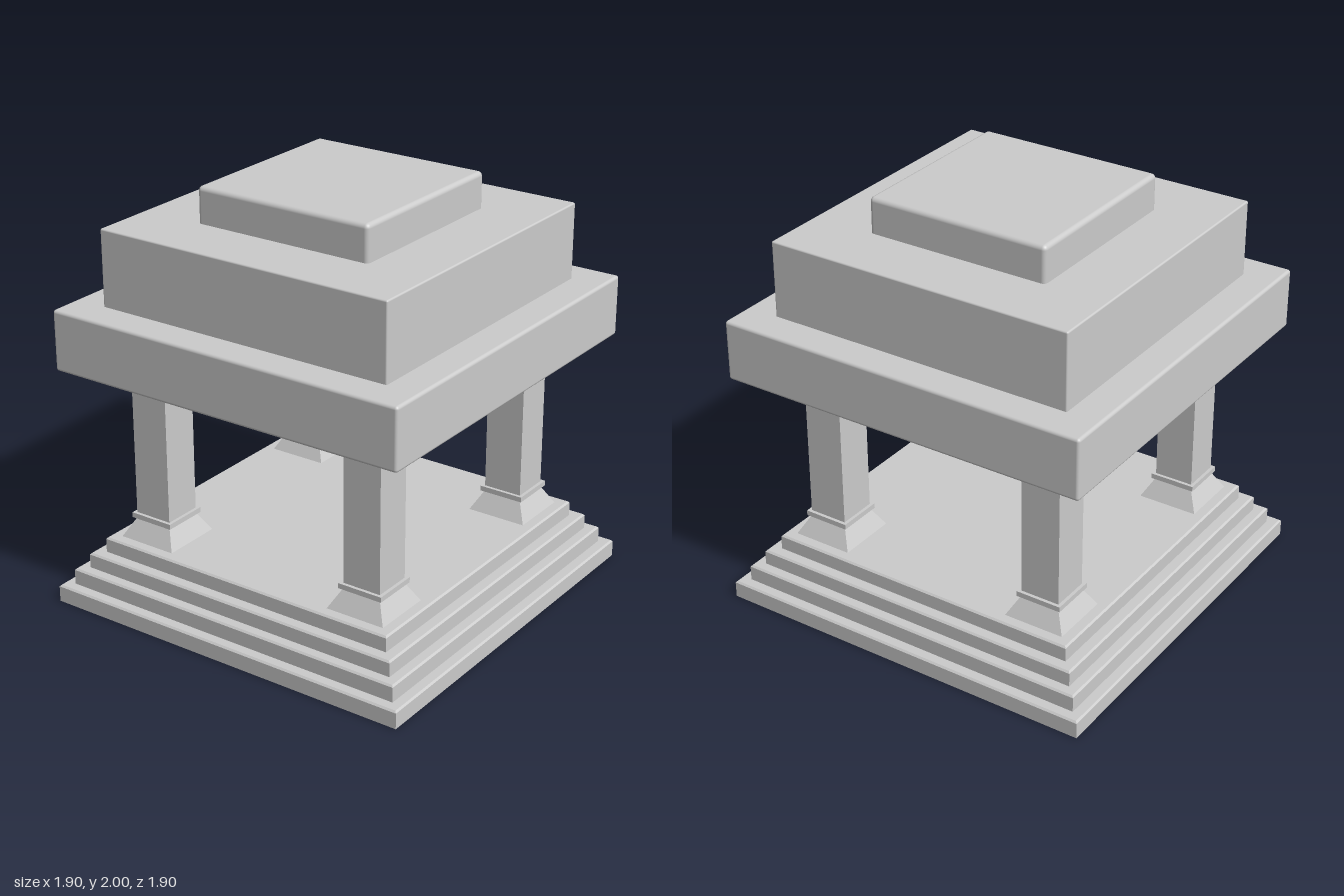
import * as THREE from 'three';
import { RoundedBoxGeometry } from 'three/addons/geometries/RoundedBoxGeometry.js';

const solid = new THREE.MeshStandardMaterial({ color: 0xcccccc });
const shell = new THREE.MeshStandardMaterial({ color: 0xcccccc, side: THREE.DoubleSide });

const COLUMN = 0.585; // column centre distance from each axis
const FOOT = 0.148;   // half width of a column foot
const FLOOR = 0.315;

function addMesh(parent, name, geometry, material) {
  const mesh = new THREE.Mesh(geometry, material);
  mesh.name = name;
  parent.add(mesh);
  return mesh;
}

// Open square shell from a profile of [half width, height], bottom to top
function squareShell(profile) {
  const points = profile.map(([half, y]) => new THREE.Vector2(half * Math.SQRT2, y));
  const geometry = new THREE.LatheGeometry(points, 4).rotateY(Math.PI / 4).toNonIndexed();
  geometry.computeVertexNormals();
  return geometry;
}

function square(PathType, x, y, half) {
  const path = new PathType();
  path.moveTo(x - half, y - half);
  path.lineTo(x + half, y - half);
  path.lineTo(x + half, y + half);
  path.lineTo(x - half, y + half);
  path.closePath();
  return path;
}

export function createModel() {
  const group = new THREE.Group();
  const corners = [[1, 1], [-1, 1], [-1, -1], [1, -1]].map(([x, z]) => [x * COLUMN, z * COLUMN]);

  // Hollow stepped base, each step with a small bevel
  const bevel = 0.008;
  const profile = [];
  let bottom = 0;
  for (const [half, top] of [[0.948, 0.085], [0.895, 0.165], [0.843, 0.24], [0.787, FLOOR]]) {
    profile.push([half, bottom], [half, top - bevel], [half - bevel, top]);
    bottom = top;
  }
  addMesh(group, 'steps', squareShell(profile), shell);

  // Thin floor, open beneath the hollow columns
  const floor = square(THREE.Shape, 0, 0, 0.787 - bevel);
  for (const [x, z] of corners) floor.holes.push(square(THREE.Path, x, z, FOOT));
  addMesh(group, 'floor', new THREE.ShapeGeometry(floor).rotateX(-Math.PI / 2), shell).position.y = FLOOR;

  // Square columns: flared foot, band, shaft, band, flared capital
  const columnGeometry = squareShell([
    [FOOT, FLOOR], [0.095, 0.41], [0.112, 0.41], [0.112, 0.435], [0.096, 0.435],
    [0.096, 1.06], [0.112, 1.06], [0.112, 1.09], [0.095, 1.09], [FOOT, 1.175],
  ]);
  for (const [x, z] of corners) {
    addMesh(group, 'column', columnGeometry, shell).position.set(x, 0, z);
  }

  // Stacked roof blocks; the upper two sink slightly into the one below
  const blocks = [
    ['roofSlab', 0.918, 1.17, 1.463, 0.015],
    ['roofBlock', 0.758, 1.45, 1.828, 0.008],
    ['roofCap', 0.454, 1.80, 2.0, 0.022],
  ];
  for (const [name, half, low, high, radius] of blocks) {
    const geometry = new RoundedBoxGeometry(half * 2, high - low, half * 2, 3, radius);
    addMesh(group, name, geometry, solid).position.y = (low + high) / 2;
  }

  return group;
}
